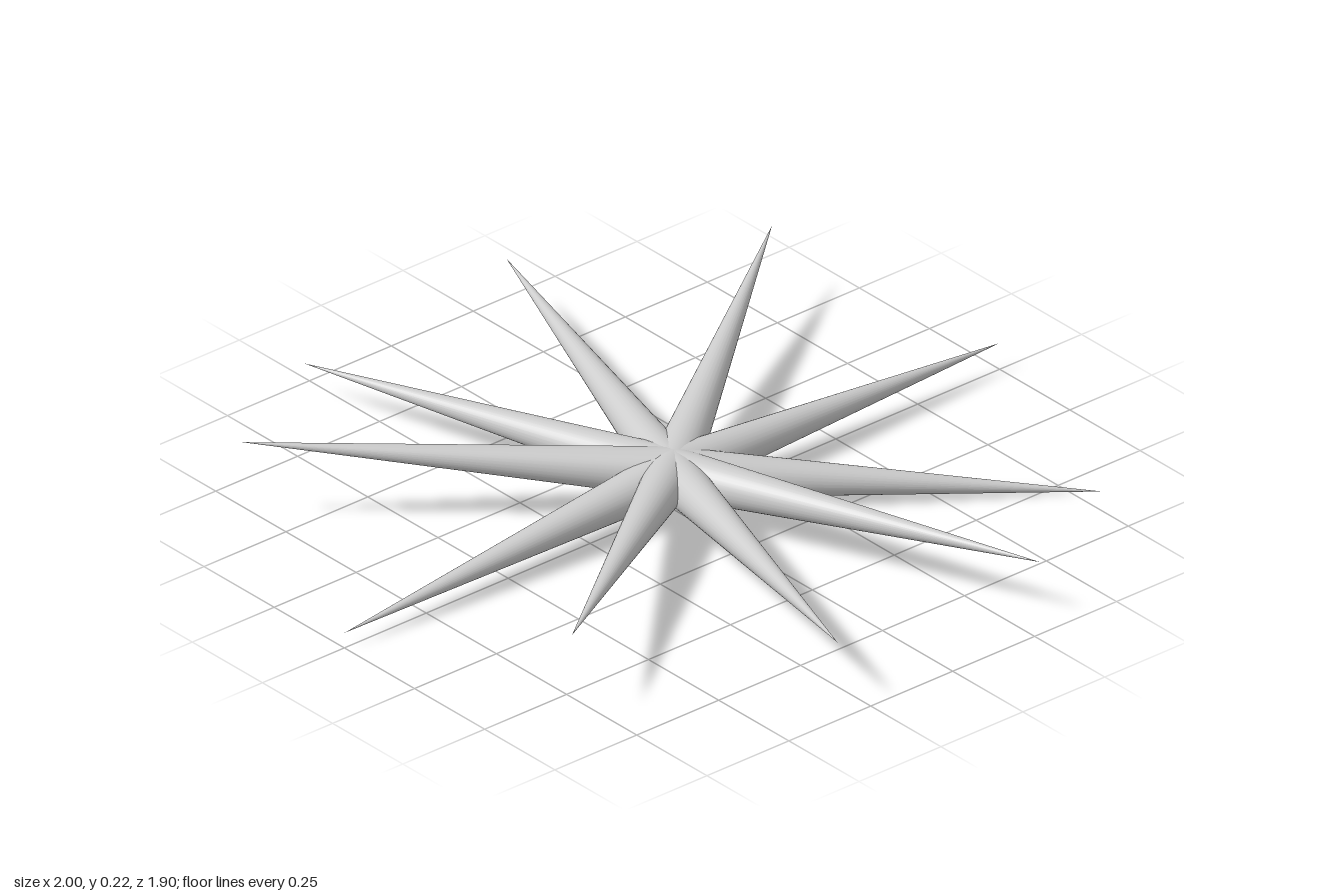
import * as THREE from 'three';

export function createModel() {
  const group = new THREE.Group();
  group.name = 'spikedStar';
  const grey = new THREE.MeshStandardMaterial({ color: 0xcccccc });
  grey.name = 'lightGrey';

  const centre = new THREE.Vector3(0, 0.0975, 0);
  const up = new THREE.Vector3(0, 1, 0);
  // Tip height of each spike, counter-clockwise from +x in 36 degree steps
  const tipHeights = [0.07, 0.2, 0.14, 0.09, 0.223, 0.04, 0.218, 0.17, 0.155, 0];

  // Slender cones fanning out from a shared centre
  tipHeights.forEach((y, i) => {
    const a = (i * Math.PI) / 5;
    const tip = new THREE.Vector3(Math.cos(a), y, -Math.sin(a));
    const axis = tip.sub(centre);
    const length = axis.length();
    const geometry = new THREE.ConeGeometry(0.06, length, 32);
    geometry.translate(0, length / 2, 0);
    const spike = new THREE.Mesh(geometry, grey);
    spike.name = `spike${i + 1}`;
    spike.position.copy(centre);
    spike.quaternion.setFromUnitVectors(up, axis.normalize());
    group.add(spike);
  });
  return group;
}
